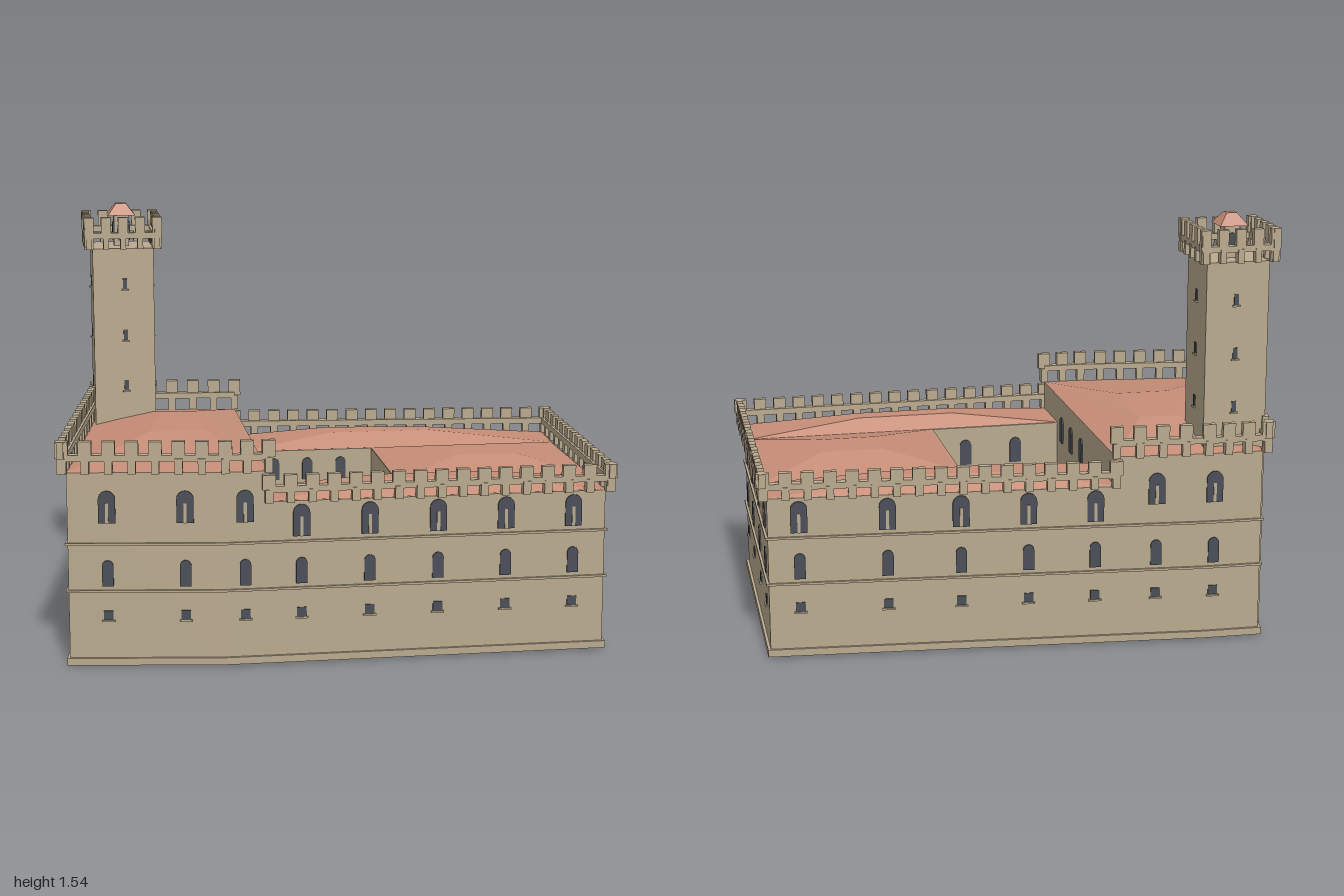
import * as THREE from 'three';
import { mergeGeometries } from 'three/addons/utils/BufferGeometryUtils.js';

const stone = new THREE.MeshStandardMaterial({ color: 0xbaaa8f });
stone.name = 'stone';
const tile = new THREE.MeshStandardMaterial({ color: 0xc68e78, side: THREE.DoubleSide });
tile.name = 'roofTile';
const glass = new THREE.MeshStandardMaterial({ color: 0x4a4e57 });
glass.name = 'darkOpening';

// Footprint corners [x, z]
const N = [-0.27, -0.545], B = [0.96, -0.435], C = [0.942, 0.572], S = [-0.27, 0.577];
const D = [-0.42, 0.577], E = [-0.967, 0.507], A = [-0.805, -0.58], A2 = [-0.6, -0.575];
const TALL = [S, D, E, A, A2, N], LOW = [N, B, C, S];
const rect = (x0, x1, z0, z1) => [[x1, z0], [x1, z1], [x0, z1], [x0, z0]];
const COURT = rect(-0.27, 0.23, -0.24, 0.35);
const TOWER = rect(-0.83, -0.6, -0.52, -0.29);

function normalOf(a, b) {
  const dx = b[0] - a[0], dz = b[1] - a[1], l = Math.hypot(dx, dz);
  return [dz / l * -1 * -1, -dx / l];
}

// Moves a path outward by d with mitred corners
function offset(path, d, closed) {
  const n = path.length;
  return path.map((p, i) => {
    const prev = i > 0 || closed ? path[(i + n - 1) % n] : null;
    const next = i < n - 1 || closed ? path[(i + 1) % n] : null;
    const n1 = prev ? normalOf(prev, p) : normalOf(p, next);
    const n2 = next ? normalOf(p, next) : n1;
    const k = d / (1 + n1[0] * n2[0] + n1[1] * n2[1]);
    return [p[0] + (n1[0] + n2[0]) * k, p[1] + (n1[1] + n2[1]) * k];
  });
}

function add(group, name, geo, mat) {
  const m = new THREE.Mesh(geo, mat);
  m.name = name;
  group.add(m);
  return m;
}

function box(w, h, d, x, y, z) {
  return new THREE.BoxGeometry(w, h, d).translate(x, y, z);
}

// Wall-like strip along a path, between offsets d0 and d1 and heights y0 and y1
function band(path, d0, d1, y0, y1, closed = false) {
  const v = (l) => l.map(([x, z]) => new THREE.Vector2(x, -z));
  const outer = v(offset(path, d1, closed)), inner = v(offset(path, d0, closed)).reverse();
  const shape = new THREE.Shape(closed ? outer : outer.concat(inner));
  if (closed) shape.holes.push(new THREE.Path(inner));
  return new THREE.ExtrudeGeometry(shape, { depth: y1 - y0, bevelEnabled: false })
    .rotateX(-Math.PI / 2).translate(0, y0, 0);
}

// Corbels, walkway rail and merlons
function battlement(group, name, path, y, rail, top, step, width, closed = false) {
  const line = offset(path, 0.013, closed), parts = [];
  const count = closed ? line.length : line.length - 1;
  for (let i = 0; i < count; i++) {
    const a = line[i], b = line[(i + 1) % line.length], nrm = normalOf(a, b);
    const n = Math.round(Math.hypot(b[0] - a[0], b[1] - a[1]) / step);
    for (let k = 0; k <= n; k++) {
      const t = k / n;
      const place = (g) => parts.push(g.rotateY(Math.atan2(nrm[0], nrm[1]))
        .translate(a[0] + (b[0] - a[0]) * t, 0, a[1] + (b[1] - a[1]) * t));
      place(box(width * 0.6, rail - y, 0.034, 0, (y + rail) / 2, 0));
      place(box(width, top - rail, 0.024, 0, (rail + top) / 2, 0.003));
    }
  }
  add(group, name + 'Merlons', mergeGeometries(parts), stone);
  add(group, name + 'Rail', band(path, -0.004, 0.028, rail - 0.01, rail + 0.012, closed), stone);
}

// Low hipped roof: outline and crown have matching corner counts
function hipRoof(o, t, y0, y1) {
  const pos = [], n = o.length;
  const put = (p, y) => pos.push(p[0], y, p[1]);
  for (let i = 0; i < n; i++) {
    const j = (i + 1) % n;
    put(o[j], y0); put(o[i], y0); put(t[i], y1);
    put(o[j], y0); put(t[i], y1); put(t[j], y1);
    if (i > 0 && i < n - 1) { put(t[0], y1); put(t[i + 1], y1); put(t[i], y1); }
  }
  const g = new THREE.BufferGeometry();
  g.setAttribute('position', new THREE.Float32BufferAttribute(pos, 3));
  g.computeVertexNormals();
  return g;
}

// Outline of an arched opening standing on y
function arch(P, w, h, x = 0, y = 0) {
  const s = new P(), r = w / 2;
  s.moveTo(x - r, y);
  s.lineTo(x + r, y);
  s.lineTo(x + r, y + h - r);
  s.absarc(x, y + h - r, r, 0, Math.PI, false);
  s.lineTo(x - r, y);
  return s;
}

const plate = (w, h) => new THREE.ExtrudeGeometry(arch(THREE.Shape, w, h),
  { depth: 0.007, bevelEnabled: false, curveSegments: 8 }).translate(0, 0, -0.002);

function opening(group, name, a, b, axis, value, y, w, h, kind) {
  const t = (value - a[axis]) / (b[axis] - a[axis]), nrm = normalOf(a, b);
  const g = new THREE.Group();
  g.name = name;
  add(g, 'opening', kind === 'square' ? box(w, h, 0.008, 0, h / 2, 0) : plate(w, h), glass);
  if (kind === 'twin') add(g, 'mullion', box(0.011, h * 0.62, 0.009, 0, h * 0.31, 0.003), stone);
  if (kind === 'square') add(g, 'sill', box(w + 0.012, 0.006, 0.012, 0, -0.003, 0.003), stone);
  g.position.set(a[0] + (b[0] - a[0]) * t, y, a[1] + (b[1] - a[1]) * t);
  g.rotation.y = Math.atan2(nrm[0], nrm[1]);
  group.add(g);
}

// Three storeys of windows above one point of a wall
function windowColumn(group, a, b, axis, value, tall, lower = true) {
  opening(group, 'upperWindow', a, b, axis, value, tall ? 0.52 : 0.463, 0.06, 0.115, 'twin');
  opening(group, 'middleWindow', a, b, axis, value, 0.292, 0.04, 0.094, 'arch');
  if (lower) opening(group, 'lowerWindow', a, b, axis, value, 0.17, 0.034, 0.034, 'square');
}

export function createModel() {
  const model = new THREE.Group();
  model.name = 'castle';

  // Outer walls, plinth and string courses
  [['tall', TALL, 0.7], ['low', LOW, 0.59]].forEach(([name, path, top]) => {
    add(model, name + 'Wall', band(path, -0.035, 0, 0.008, top), stone);
    add(model, name + 'Plinth', band(path, -0.04, 0.01, 0.006, 0.032), stone);
    for (const y of [0.275, 0.445]) add(model, name + 'Course', band(path, -0.005, 0.009, y - 0.004, y + 0.004), stone);
  });
  add(model, 'partitionWall', box(0.02, 0.115, 1.12, -0.28, 0.6425, 0.016), stone);
  battlement(model, 'tallParapet', TALL, 0.7, 0.755, 0.815, 0.078, 0.046);
  battlement(model, 'lowParapet', LOW, 0.59, 0.638, 0.69, 0.078, 0.046);

  // Roofs
  const p = [[-0.44, -0.24], [-0.45, 0.12], [-0.65, 0.12], [-0.58, -0.24]];
  add(model, 'westRoof', hipRoof([N, S, D, E, A, A2], [p[0], p[1], p[1], p[2], p[3], p[3]], 0.7, 0.757), tile);
  add(model, 'northRoof', hipRoof([B, [0.95, -0.24], [-0.27, -0.24], N],
    [[0.45, -0.4], [0.47, -0.335], [0.085, -0.335], [0.085, -0.44]], 0.592, 0.637), tile);
  add(model, 'southRoof', hipRoof([[0.945, 0.35], C, S, [-0.27, 0.35]],
    [[0.51, 0.41], [0.51, 0.485], [0.15, 0.485], [0.14, 0.41]], 0.592, 0.637), tile);
  add(model, 'eastRoof', hipRoof(rect(0.23, 0.948, -0.24, 0.35), rect(0.49, 0.715, -0.04, 0.13), 0.592, 0.637), tile);

  // Outside windows
  for (const x of [-0.83, -0.56]) windowColumn(model, D, E, 0, x, true);
  windowColumn(model, S, D, 0, -0.352, true);
  for (const x of [-0.153, 0.09, 0.335, 0.58, 0.826]) windowColumn(model, C, S, 0, x, false);
  for (const z of [0.47, 0.21, -0.087, -0.337]) windowColumn(model, B, C, 1, z, false);
  for (const x of [0.85, 0.54, 0.28, 0.04, -0.2]) windowColumn(model, N, B, 0, x, false);
  windowColumn(model, A2, N, 0, -0.42, true);
  windowColumn(model, A, A2, 0, -0.63, true);
  for (const z of [-0.25, -0.02, 0.2, 0.42]) windowColumn(model, E, A, 1, z, true, z < -0.1 || z > 0.3);
  opening(model, 'gate', E, A, 1, 0.085, 0.005, 0.1, 0.14, 'arch');

  // Courtyard
  const court = new THREE.Group();
  court.name = 'courtyard';
  model.add(court);
  add(court, 'courtWalls', band(COURT, 0, 0.02, 0, 0.59, true), stone);
  add(court, 'courtFloor', box(0.5, 0.012, 0.59, -0.02, 0.006, 0.055), stone);
  const inner = COURT.slice().reverse();
  const [nw, sw, se, ne] = inner;
  for (const x of [-0.15, -0.02, 0.11]) opening(court, 'courtWindow', ne, nw, 0, x, 0.475, 0.04, 0.085, 'arch');
  for (const z of [-0.04, 0.12, 0.27]) {
    opening(court, 'courtWindow', nw, sw, 1, z, 0.53, 0.045, 0.1, 'arch');
    opening(court, 'courtWindow', se, ne, 1, z, 0.44, 0.045, 0.1, 'arch');
  }
  for (const x of [-0.1, 0.1]) opening(court, 'courtWindow', sw, se, 0, x, 0.44, 0.045, 0.1, 'arch');

  // Arcade with lean-to roof
  const front = new THREE.Shape([[-0.27, 0], [0.23, 0], [0.23, 0.405], [-0.27, 0.405]].map((q) => new THREE.Vector2(...q)));
  for (const y of [0.015, 0.23]) for (let i = 0; i < 3; i++) front.holes.push(arch(THREE.Path, 0.12, 0.15, -0.18 + i * 0.16, y));
  add(court, 'arcade', new THREE.ExtrudeGeometry(front, { depth: 0.02, bevelEnabled: false, curveSegments: 8 })
    .translate(0, 0, -0.125), stone);
  add(court, 'arcadeRoof', hipRoof([[0.23, -0.24], [0.23, -0.1], [-0.27, -0.1], [-0.27, -0.24]],
    [[0.23, -0.24], [0.23, -0.235], [-0.27, -0.235], [-0.27, -0.24]], 0.41, 0.455), tile);

  // Stair along the west side, and the well
  const steps = [];
  for (let i = 0; i < 16; i++) steps.push(box(0.068, 0.0135 * (i + 1), 0.028, -0.236, 0.012 + 0.00675 * (i + 1), 0.336 - i * 0.028));
  steps.push(box(0.012, 0.06, 0.012, -0.205, 0.04, 0.336));
  add(court, 'stair', mergeGeometries(steps), stone);
  const ring = [[0.019, 0], [0.026, 0], [0.026, 0.04], [0.019, 0.04], [0.019, 0]].map((q) => new THREE.Vector2(...q));
  const well = add(court, 'well', new THREE.LatheGeometry(ring, 16), stone);
  well.position.set(-0.02, 0.012, 0.055);

  // Tower with lantern
  const tower = new THREE.Group();
  tower.name = 'tower';
  model.add(tower);
  add(tower, 'shaft', box(0.23, 1.375, 0.23, -0.715, 0.6925, -0.405), stone);
  battlement(tower, 'towerParapet', TOWER, 1.38, 1.43, 1.5, 0.062, 0.036, true);
  add(tower, 'lantern', box(0.056, 0.12, 0.056, -0.715, 1.44, -0.41), stone);
  add(tower, 'lanternRoof', hipRoof(rect(-0.767, -0.663, -0.462, -0.358), rect(-0.734, -0.696, -0.429, -0.391), 1.497, 1.54), tile);
  const room = rect(-0.743, -0.687, -0.438, -0.382);
  for (let i = 0; i < 4; i++) {
    const j = (i + 1) % 4, axis = i % 2 === 0 ? 1 : 0;
    for (const y of [0.835, 1.03, 1.225]) {
      opening(tower, 'slit', TOWER[i], TOWER[j], axis, axis ? -0.405 : -0.71, y, 0.016, 0.04, 'square');
    }
    opening(tower, 'lanternWindow', room[i], room[j], axis, axis ? -0.41 : -0.715, 1.4, 0.028, 0.07, 'arch');
  }
  return model;
}
